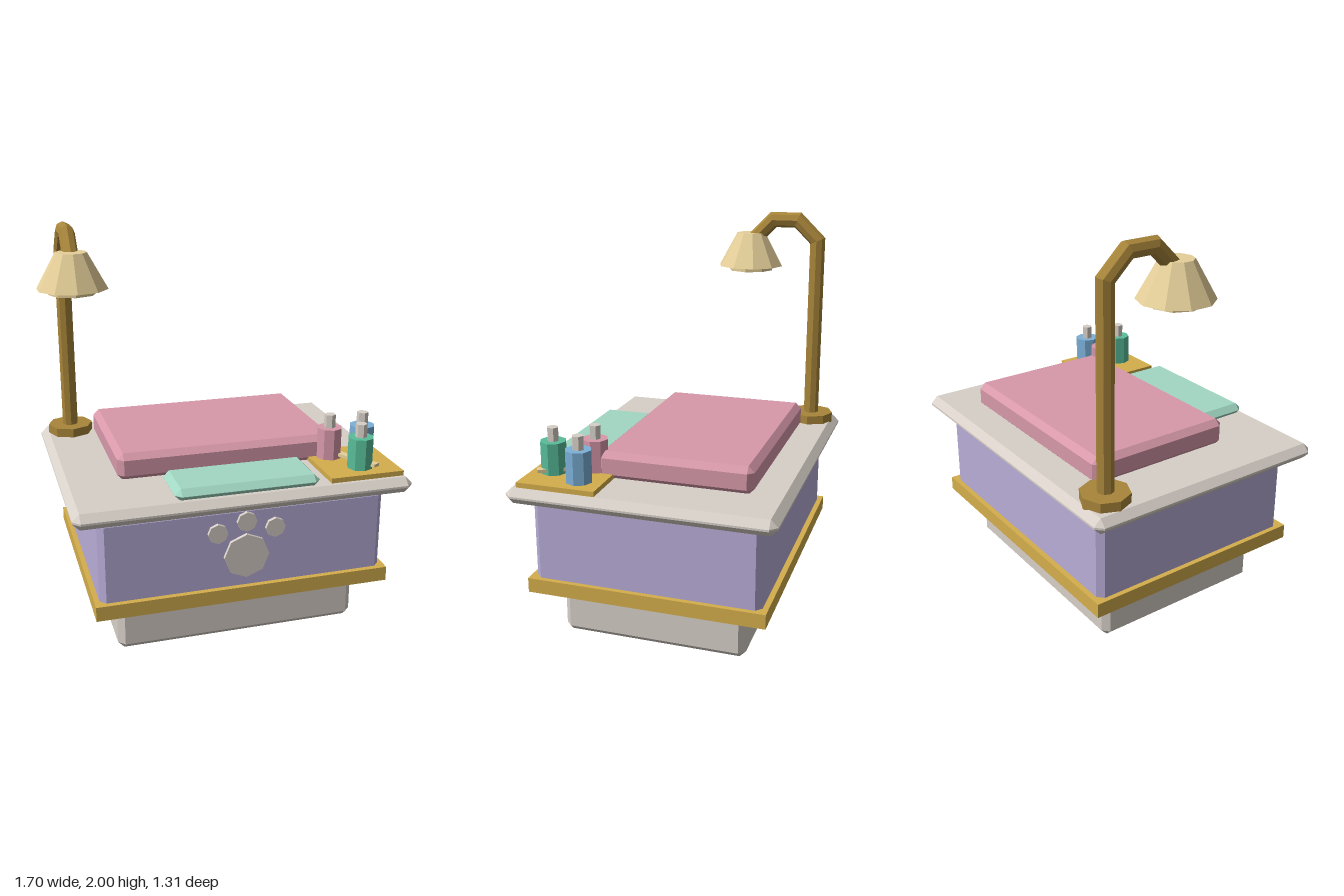
import * as THREE from 'three';
import { toCreasedNormals } from 'three/addons/utils/BufferGeometryUtils.js';
import { ConvexGeometry } from 'three/addons/geometries/ConvexGeometry.js';

const colours = {
  stone: 0xd8d0c8, lilac: 0xb9add8, gold: 0xd4ae4c, pink: 0xd899aa, mint: 0xa2d8c4,
  teal: 0x58bd9a, blue: 0x7cb0d8, bronze: 0xa8853a, cream: 0xe6d09a,
};

export function createModel() {
  const model = new THREE.Group();
  const mats = {};
  for (const [name, color] of Object.entries(colours)) {
    mats[name] = new THREE.MeshStandardMaterial({ color });
    mats[name].name = name;
  }

  function add(name, geometry, mat, x = 0, y = 0, z = 0, parent = model) {
    const mesh = new THREE.Mesh(geometry, mats[mat]);
    mesh.name = name;
    mesh.position.set(x, y, z);
    parent.add(mesh);
    return mesh;
  }

  // Box given by its ranges, with all edges chamfered by c
  function chamferBox(name, mat, [x0, x1], [y0, y1], [z0, z1], c) {
    const half = [(x1 - x0) / 2, (y1 - y0) / 2, (z1 - z0) / 2];
    const points = [];
    for (const sx of [-1, 1]) for (const sy of [-1, 1]) for (const sz of [-1, 1])
      for (let full = 0; full < 3; full++) {
        const p = half.map((h, i) => (i === full ? h : h - c));
        points.push(new THREE.Vector3(sx * p[0], sy * p[1], sz * p[2]));
      }
    return add(name, new ConvexGeometry(points), mat, (x0 + x1) / 2, (y0 + y1) / 2, (z0 + z1) / 2);
  }

  // Faceted cylinder standing from y0 to y1
  const prism = (rTop, rBottom, h, sides) =>
    toCreasedNormals(new THREE.CylinderGeometry(rTop, rBottom, h, sides), 0.1);
  const post = (name, mat, rTop, rBottom, sides, x, y0, y1, z, parent) =>
    add(name, prism(rTop, rBottom, y1 - y0, sides), mat, x, (y0 + y1) / 2, z, parent);

  // Cabinet
  chamferBox('base', 'stone', [-0.615, 0.625], [0, 0.3], [-0.47, 0.47], 0.032);
  add('trim', new THREE.BoxGeometry(1.49, 0.074, 1.195), 'gold', 0.005, 0.297, 0);
  chamferBox('body', 'lilac', [-0.715, 0.725], [0.27, 0.755], [-0.57, 0.57], 0.03);
  chamferBox('tableTop', 'stone', [-0.835, 0.845], [0.753, 0.833], [-0.657, 0.657], 0.035);

  // Paw emblem on the front
  const paw = new THREE.Group();
  paw.name = 'pawEmblem';
  model.add(paw);
  for (const [name, x, y, r] of [['pawPad', 0.005, 0.496, 0.114], ['pawToeRight', -0.14, 0.629, 0.05],
    ['pawToeMiddle', 0.005, 0.676, 0.05], ['pawToeLeft', 0.15, 0.629, 0.05]]) {
    add(name, prism(r, r, 0.02, 8), 'stone', x, y, 0.578, paw).rotation.x = Math.PI / 2;
  }

  // Cushions
  chamferBox('largeCushion', 'pink', [-0.56, 0.575], [0.825, 0.965], [-0.483, 0.295], 0.03);
  chamferBox('smallCushion', 'mint', [-0.352, 0.367], [0.826, 0.888], [0.323, 0.622], 0.03);

  // Tray with bottles and a stick
  add('tray', new THREE.BoxGeometry(0.382, 0.028, 0.395), 'gold', 0.617, 0.844, 0.405);
  for (const [mat, x, z] of [['pink', 0.528, 0.314], ['blue', 0.702, 0.325], ['teal', 0.62, 0.492]]) {
    const bottle = new THREE.Group();
    bottle.name = mat + 'Bottle';
    model.add(bottle);
    post('bottleBody', mat, 0.065, 0.065, 8, x, 0.858, 1.017, z, bottle);
    post('bottleCap', 'stone', 0.029, 0.029, 6, x, 1.017, 1.085, z, bottle);
  }
  add('stick', new THREE.BoxGeometry(0.038, 0.016, 0.28), 'cream', 0.615, 0.88, 0.43).rotation.y = 0.52;

  // Lamp
  const lamp = new THREE.Group();
  lamp.name = 'lamp';
  model.add(lamp);
  post('lampBase', 'bronze', 0.12, 0.12, 8, -0.682, 0.825, 0.88, -0.515, lamp);
  add('lampArm', bentTube([[0.86, -0.513], [1.852, -0.513], [1.96, -0.402], [1.96, -0.265], [1.845, -0.15]], 0.041, 8),
    'bronze', -0.682, 0, 0, lamp);
  post('lampShade', 'cream', 0.08, 0.18, 10, -0.682, 1.705, 1.885, -0.139, lamp);
  post('lampBulb', 'cream', 0.122, 0.122, 8, -0.682, 1.68, 1.72, -0.139, lamp);

  return model;
}

// Tube along [y, z] points with mitred joints: the rings of a cylinder are moved onto the path
function bentTube(path, radius, sides) {
  const points = path.map(([y, z]) => new THREE.Vector2(y, z));
  const last = points.length - 1;
  const rings = points.map((p, i) => {
    const before = points[Math.max(i, 1)].clone().sub(points[Math.max(i, 1) - 1]).normalize();
    const j = Math.min(i, last - 1);
    const after = points[j + 1].clone().sub(points[j]).normalize();
    const t = before.clone().add(after).normalize();
    const stretch = 1 / t.dot(after);
    return { p, y: -t.y * stretch, z: t.x * stretch };
  });
  const geometry = new THREE.CylinderGeometry(radius, radius, last, sides, last);
  const pos = geometry.attributes.position;
  for (let i = 0; i < pos.count; i++) {
    const ring = rings[Math.round(pos.getY(i) + last / 2)];
    const out = pos.getZ(i);
    pos.setXYZ(i, pos.getX(i), ring.p.x + out * ring.y, ring.p.y + out * ring.z);
  }
  return toCreasedNormals(geometry, 0.1);
}
